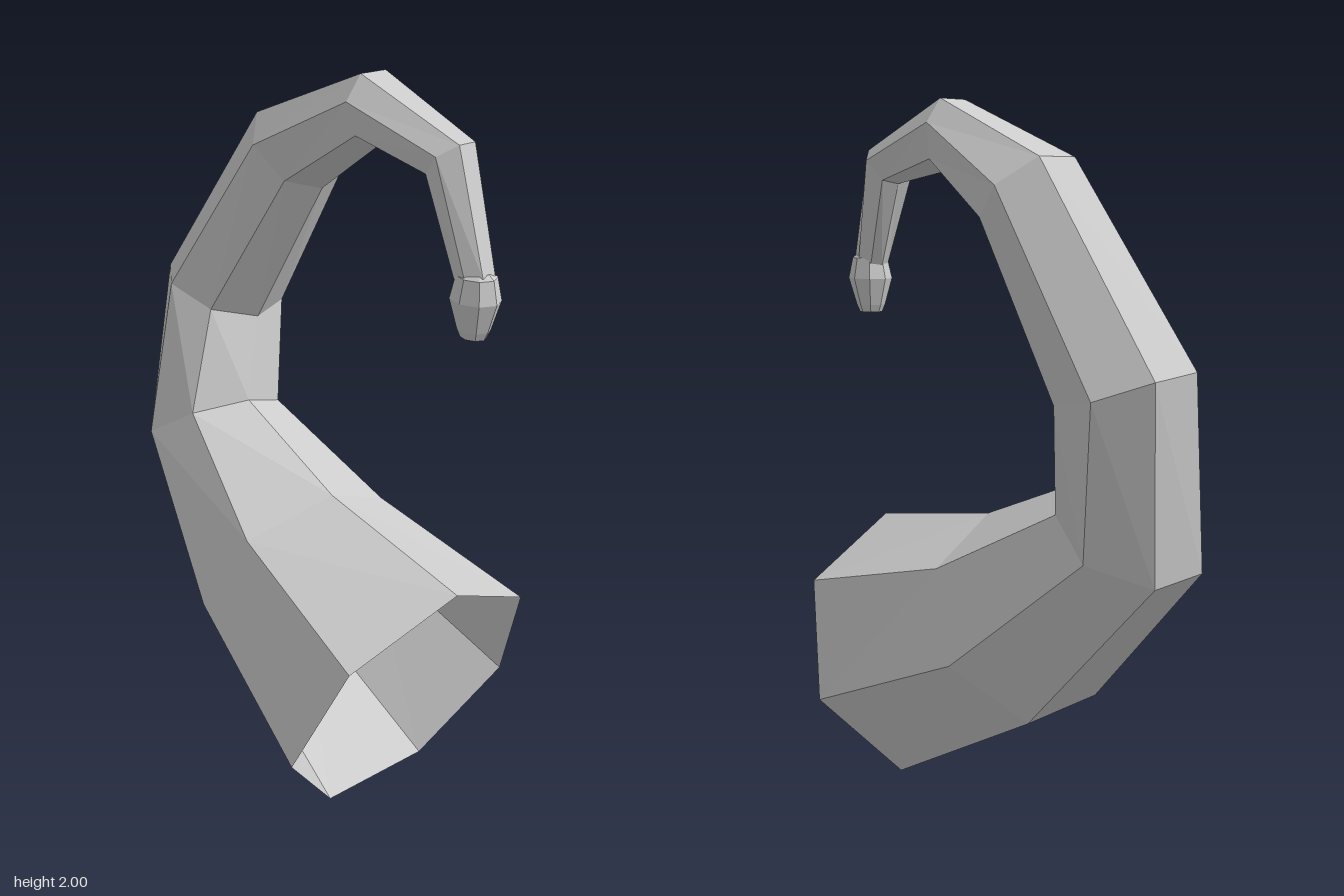
import * as THREE from 'three';

// Seven-sided rings from the open root to the tip, each ordered:
// inner, inner front, front, outer front, outer back, back, inner back
const RINGS = [
  [[0.65, 0.74, 0], [0.58, 0.6, 0.32], [0.45, 0.28, 0.4], [0.37, 0.01, 0.18], [0.38, 0, -0.18], [0.49, 0.26, -0.4], [0.61, 0.59, -0.32]],
  [[0.14, 0.83, -0.03], [0.06, 0.74, 0.22], [-0.07, 0.5, 0.28], [-0.16, 0.31, 0.11], [-0.16, 0.3, -0.17], [-0.03, 0.48, -0.345], [0.09, 0.72, -0.28]],
  [[-0.26, 0.99, -0.06], [-0.33, 0.97, 0.1], [-0.49, 0.87, 0.14], [-0.6, 0.78, 0.03], [-0.59, 0.77, -0.15], [-0.45, 0.83, -0.265], [-0.31, 0.93, -0.22]],
  [[-0.32, 1.22, -0.15], [-0.37, 1.26, -0.01], [-0.52, 1.31, 0.02], [-0.65, 1.32, -0.075], [-0.65, 1.31, -0.235], [-0.53, 1.26, -0.33], [-0.37, 1.23, -0.29]],
  [[-0.08, 1.65, -0.185], [-0.12, 1.68, -0.08], [-0.21, 1.77, -0.045], [-0.28, 1.84, -0.12], [-0.28, 1.84, -0.25], [-0.2, 1.77, -0.328], [-0.11, 1.69, -0.295]],
  [[0.16, 1.81, -0.155], [0.16, 1.85, -0.075], [0.14, 1.935, -0.06], [0.14, 2, -0.11], [0.14, 2, -0.2], [0.14, 1.935, -0.25], [0.16, 1.84, -0.225]],
];
const TIP_RINGS = [
  [[0.38, 1.775, -0.15], [0.39, 1.79, -0.095], [0.43, 1.84, -0.085], [0.47, 1.87, -0.125], [0.47, 1.87, -0.183], [0.44, 1.84, -0.217], [0.39, 1.785, -0.2]],
  [[0.49, 1.54, -0.125], [0.505, 1.545, -0.09], [0.55, 1.555, -0.078], [0.59, 1.565, -0.1], [0.59, 1.565, -0.145], [0.55, 1.555, -0.165], [0.505, 1.545, -0.155]],
];

// Joins successive rings with flat-shaded quads, leaving the ends open
function loft(rings) {
  const n = rings[0].length;
  const index = [];
  for (let r = 0; r < rings.length - 1; r++) {
    for (let i = 0; i < n; i++) {
      const j = (i + 1) % n;
      const a = r * n + i, b = r * n + j, c = b + n, d = a + n;
      index.push(a, d, c, a, c, b);
    }
  }
  const g = new THREE.BufferGeometry();
  g.setAttribute('position', new THREE.Float32BufferAttribute(rings.flat(2), 3));
  g.setIndex(index);
  const flat = g.toNonIndexed();
  flat.computeVertexNormals();
  return flat;
}

export function createModel() {
  const group = new THREE.Group();
  group.name = 'curledTail';
  const grey = new THREE.MeshStandardMaterial({ color: 0xcccccc, flatShading: true, side: THREE.DoubleSide });
  grey.name = 'light grey';

  // Tapering curled tail, open at the root
  const tail = new THREE.Mesh(loft([...RINGS, ...TIP_RINGS]), grey);
  tail.name = 'tail';

  // Small faceted knob hanging from the tip
  const profile = [[0, 1.397], [0.036, 1.4], [0.046, 1.422], [0.07, 1.5], [0.056, 1.56], [0.04, 1.572], [0, 1.572]]
    .map(([x, y]) => new THREE.Vector2(x, y));
  const knob = new THREE.Mesh(new THREE.LatheGeometry(profile, 8), grey);
  knob.name = 'tipKnob';
  knob.scale.z = 0.86;
  knob.position.set(0.55, 0, -0.122);

  group.add(tail, knob);
  return group;
}
